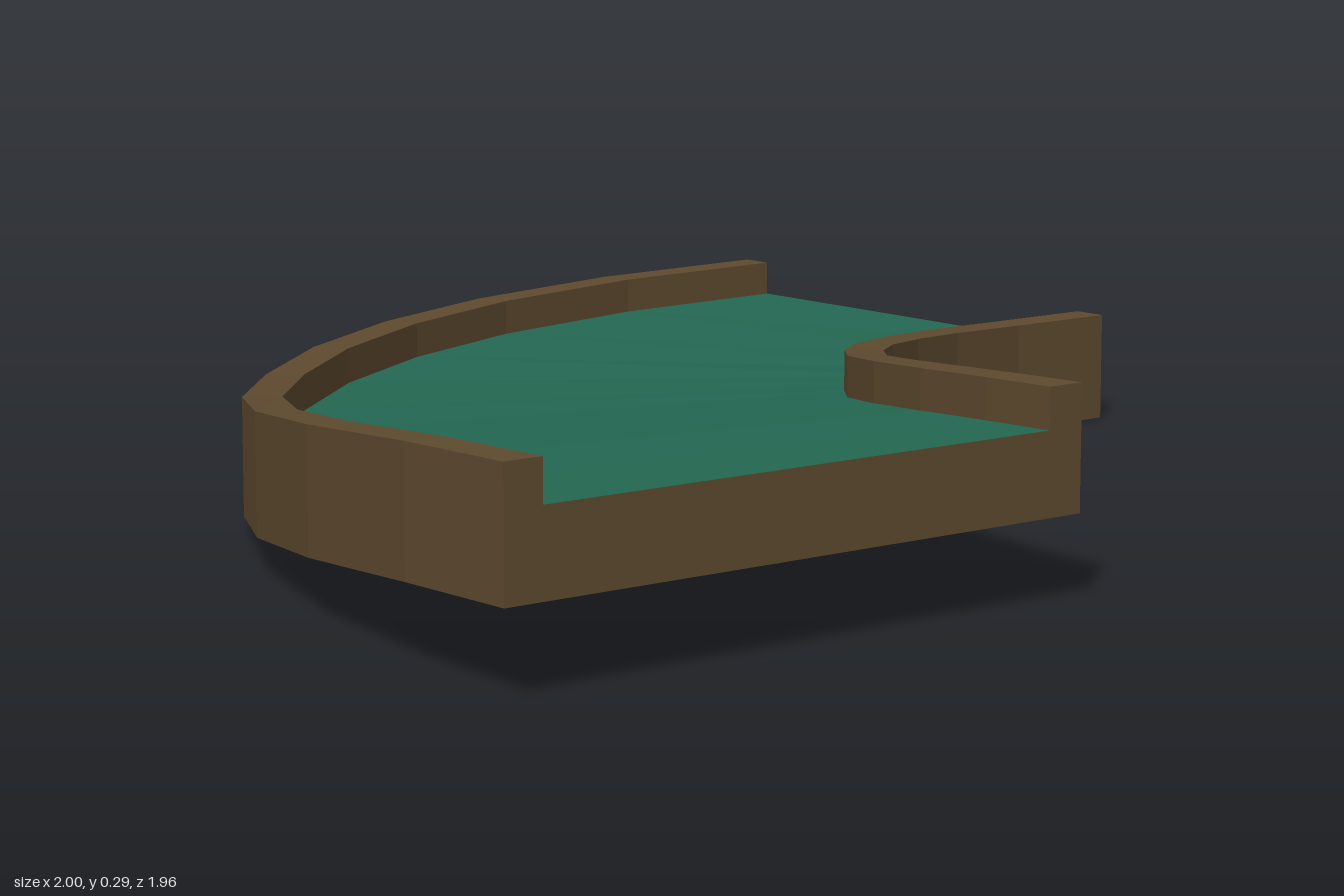
import * as THREE from 'three';

const DECK = 0.117;      // deck height above the lower edge
const RAIL_TOP = 0.175;  // rail height above the lower edge
const RAIL_WIDTH = 0.058;

// Plan of each edge, from the raised front end to the low side end: [x, z, lower edge y]
const OUTER = [
  [-1, 0.98, 0.12], [-0.985, 0.755, 0.112], [-0.925, 0.45, 0.085], [-0.82, 0.163, 0.053],
  [-0.665, -0.115, 0.021], [-0.47, -0.355, 0.005], [-0.245, -0.565, 0.001], [0.01, -0.735, 0],
  [0.294, -0.864, 0], [0.64, -0.955, 0], [1, -0.984, 0],
];
const INNER = [
  [-0.06, 0.98, 0.12], [-0.05, 0.853, 0.115], [-0.02, 0.698, 0.104], [0.032, 0.548, 0.089],
  [0.112, 0.404, 0.07], [0.214, 0.281, 0.053], [0.332, 0.171, 0.038], [0.465, 0.083, 0.024],
  [0.607, 0.019, 0.013], [0.79, -0.03, 0.003], [1, -0.048, 0],
];

const lift = (points, h) => points.map((p) => new THREE.Vector3(p.x, p.y + h, p.z));

// Strip of quads between two matching lines of points
function ribbon(a, b) {
  const out = [];
  for (let i = 0; i < a.length - 1; i++) {
    for (const p of [a[i], b[i], b[i + 1], a[i], b[i + 1], a[i + 1]]) out.push(p.x, p.y, p.z);
  }
  return out;
}

function addMesh(group, name, material, ...strips) {
  const geometry = new THREE.BufferGeometry();
  geometry.setAttribute('position', new THREE.Float32BufferAttribute(strips.flat(), 3));
  geometry.computeVertexNormals();
  const mesh = new THREE.Mesh(geometry, material);
  mesh.name = name;
  group.add(mesh);
}

export function createModel() {
  const group = new THREE.Group();
  group.name = 'curvedRamp';
  const wood = new THREE.MeshStandardMaterial({ color: 0x5e4a2f, side: THREE.DoubleSide, flatShading: true });
  wood.name = 'brown wood';
  const felt = new THREE.MeshStandardMaterial({ color: 0x236852, side: THREE.DoubleSide, flatShading: true });
  felt.name = 'green felt';

  const toPoint = ([x, z, y]) => new THREE.Vector3(x, y, z);
  const outer = OUTER.map(toPoint);
  const inner = INNER.map(toPoint);

  // Deck, open underneath
  addMesh(group, 'deck', felt, ribbon(lift(outer, DECK), lift(inner, DECK)));

  // Side walls with a raised rail along each edge
  const addSide = (name, edge, other, flip) => {
    const strip = (a, b) => (flip ? ribbon(b, a) : ribbon(a, b));
    const foot = edge.map((p, i) => p.clone().lerp(other[i], RAIL_WIDTH / p.distanceTo(other[i])));
    const lip = foot.map((p, i) => new THREE.Vector3(p.x, edge[i].y + RAIL_TOP, p.z));
    const top = lift(edge, RAIL_TOP);
    const deckEdge = lift(edge, DECK);
    const deckFoot = lift(foot, DECK);
    addMesh(group, name + 'Wall', wood, strip(edge, top));
    addMesh(group, name + 'Rail', wood, strip(top, lip), strip(lip, deckFoot));
    // Rail ends
    const n = edge.length - 1;
    addMesh(group, name + 'RailEnds', wood,
      strip([deckEdge[0], deckFoot[0]], [top[0], lip[0]]).reverse().reduce((out, v, i, all) => {
        // restore x, y, z order after reversing the corners
        if (i % 3 === 0) out.push(all[i + 2], all[i + 1], v);
        return out;
      }, []),
      strip([deckEdge[n], deckFoot[n]], [top[n], lip[n]]));
  };
  addSide('outer', outer, inner, false);
  addSide('inner', inner, outer, true);

  // End walls below the deck
  const n = outer.length - 1;
  const front = [outer[0], inner[0]];
  const side = [inner[n], outer[n]];
  addMesh(group, 'frontEndWall', wood, ribbon(lift(front, DECK), front));
  addMesh(group, 'sideEndWall', wood, ribbon(lift(side, DECK), side));

  return group;
}
